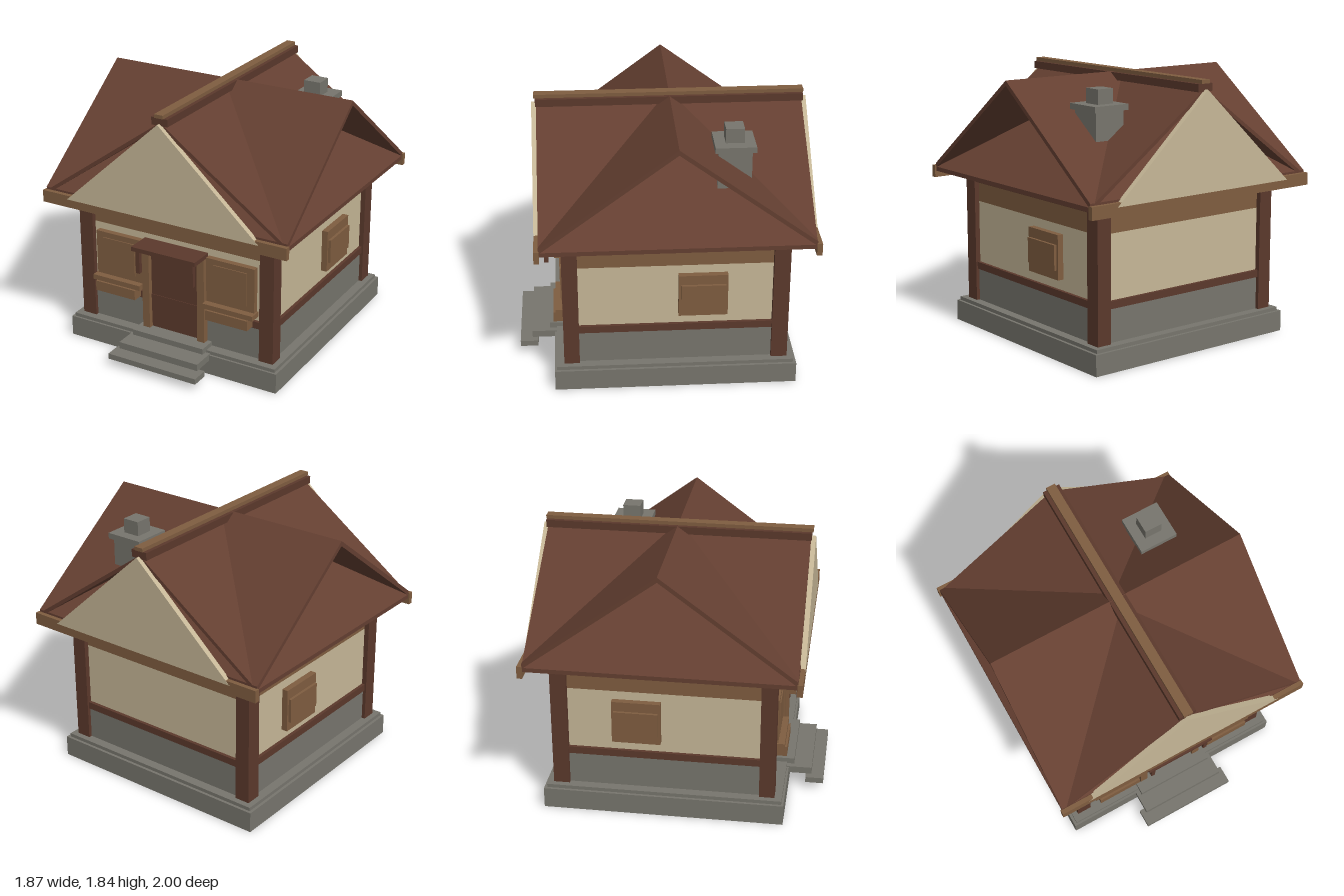
import * as THREE from 'three';

const paint = (name, color) => {
  const m = new THREE.MeshStandardMaterial({ color });
  m.name = name;
  return m;
};

export function createModel() {
  const house = new THREE.Group();
  house.name = 'cottage';
  const roofBrown = paint('roof brown', 0x643f31);
  const darkWood = paint('dark wood', 0x5b392c);
  const lightWood = paint('light wood', 0x7f5d40);
  const plaster = paint('cream plaster', 0xc6b797);
  const stone = paint('grey stone', 0x77756d);

  // Box given by its limits on each axis
  const box = (name, mat, x0, x1, y0, y1, z0, z1) => {
    const mesh = new THREE.Mesh(new THREE.BoxGeometry(x1 - x0, y1 - y0, z1 - z0), mat);
    mesh.position.set((x0 + x1) / 2, (y0 + y1) / 2, (z0 + z1) / 2);
    mesh.name = name;
    house.add(mesh);
    return mesh;
  };
  // Same box on both sides of x = 0
  const pair = (name, mat, x0, x1, ...rest) => {
    box(name + 'Left', mat, x0, x1, ...rest);
    box(name + 'Right', mat, -x1, -x0, ...rest);
  };
  // Outline extruded along z, centred on z = 0
  const prism = (name, mat, points, depth) => {
    const shape = new THREE.Shape(points.map(([x, y]) => new THREE.Vector2(x, y)));
    const geo = new THREE.ExtrudeGeometry(shape, { depth, bevelEnabled: false });
    geo.translate(0, 0, -depth / 2);
    const mesh = new THREE.Mesh(geo, mat);
    mesh.name = name;
    house.add(mesh);
    return mesh;
  };
  const midZ = -0.07;

  // Stone footing
  box('footing', stone, -0.82, 0.82, 0, 0.145, -0.89, 0.755);
  box('footingStep', stone, -0.8, 0.8, 0.145, 0.17, -0.87, 0.74);

  // Walls in horizontal layers
  const layers = [
    ['stoneWall', stone, 0.17, 0.4, 0.025],
    ['sillBand', darkWood, 0.4, 0.45, 0.012],
    ['plasterWall', plaster, 0.45, 0.89, 0.035],
    ['upperWall', lightWood, 0.89, 1.03, 0.035],
    ['topBand', darkWood, 1.03, 1.115, 0.01],
  ];
  for (const [name, mat, y0, y1, inset] of layers)
    box(name, mat, -0.76 + inset, 0.76 - inset, y0, y1, -0.83 + inset, 0.69 - inset);

  // Corner posts
  pair('frontPost', darkWood, 0.655, 0.76, 0.17, 1.115, 0.585, 0.69);
  pair('backPost', darkWood, 0.655, 0.76, 0.17, 1.115, -0.83, -0.72);

  // Crossing gable roofs
  const chevron = (half, apex, eave, t) => [
    [-half, eave - t], [0, apex - t], [half, eave - t],
    [half, eave], [0, apex], [-half, eave],
  ];
  prism('mainRoof', roofBrown, chevron(0.925, 1.785, 1.125, 0.03), 1.8).position.z = midZ;
  const cross = prism('crossRoof', roofBrown, chevron(0.9, 1.82, 1.15, 0.035), 1.85);
  cross.rotation.y = Math.PI / 2;
  cross.position.z = midZ;
  box('ridgeBeam', darkWood, -0.06, 0.06, 1.765, 1.817, -0.975, 0.835);
  box('ridgeCap', lightWood, -0.033, 0.033, 1.817, 1.842, -0.98, 0.845);

  // Gable panels and eave beams at both ends
  for (const [end, z] of [['front', 0.843], ['back', -0.983]]) {
    prism(end + 'Gable', plaster, [[-0.735, 1.108], [0.735, 1.108], [0, 1.78]], 0.038).position.z = z;
    box(end + 'EaveBeam', lightWood, -0.935, 0.935, 1.05, 1.135, z - 0.018, z + 0.018);
  }

  // Chimney
  box('chimneyStack', stone, 0.35, 0.575, 1.3, 1.635, -0.575, -0.35);
  box('chimneyCap', stone, 0.33, 0.6, 1.635, 1.675, -0.6, -0.33);
  box('chimneyPot', stone, 0.4, 0.523, 1.675, 1.775, -0.527, -0.404);

  // Side windows
  pair('sideWindowFrame', lightWood, 0.72, 0.768, 0.525, 0.83, -0.415, -0.085);
  pair('sideWindowShutter', lightWood, 0.76, 0.787, 0.59, 0.762, -0.4, -0.1);

  // Front windows with planter boxes
  pair('frontWindow', lightWood, 0.255, 0.62, 0.52, 0.84, 0.64, 0.695);
  pair('frontWindowPanel', lightWood, 0.31, 0.565, 0.56, 0.8, 0.69, 0.702);
  pair('planter', lightWood, 0.28, 0.6, 0.41, 0.482, 0.65, 0.755);
  pair('planterRim', lightWood, 0.25, 0.63, 0.482, 0.518, 0.65, 0.74);

  // Door with jambs and a cross rail
  box('door', darkWood, -0.19, 0.19, 0.2, 0.775, 0.62, 0.675);
  box('doorRail', darkWood, -0.19, 0.19, 0.32, 0.45, 0.67, 0.68);
  pair('doorJamb', lightWood, 0.19, 0.245, 0.19, 0.825, 0.62, 0.71);

  // Door canopy on brackets
  box('canopy', darkWood, -0.248, 0.248, 0.826, 0.856, 0.65, 0.83);
  pair('canopyBracket', darkWood, 0.195, 0.224, 0.66, 0.826, 0.785, 0.815);

  // Entrance steps
  box('topStep', stone, -0.28, 0.28, 0.16, 0.2, 0.64, 0.79);
  box('middleStep', stone, -0.31, 0.31, 0.105, 0.153, 0.7, 0.915);
  box('bottomStep', stone, -0.345, 0.345, 0.055, 0.095, 0.875, 1.0);

  return house;
}
